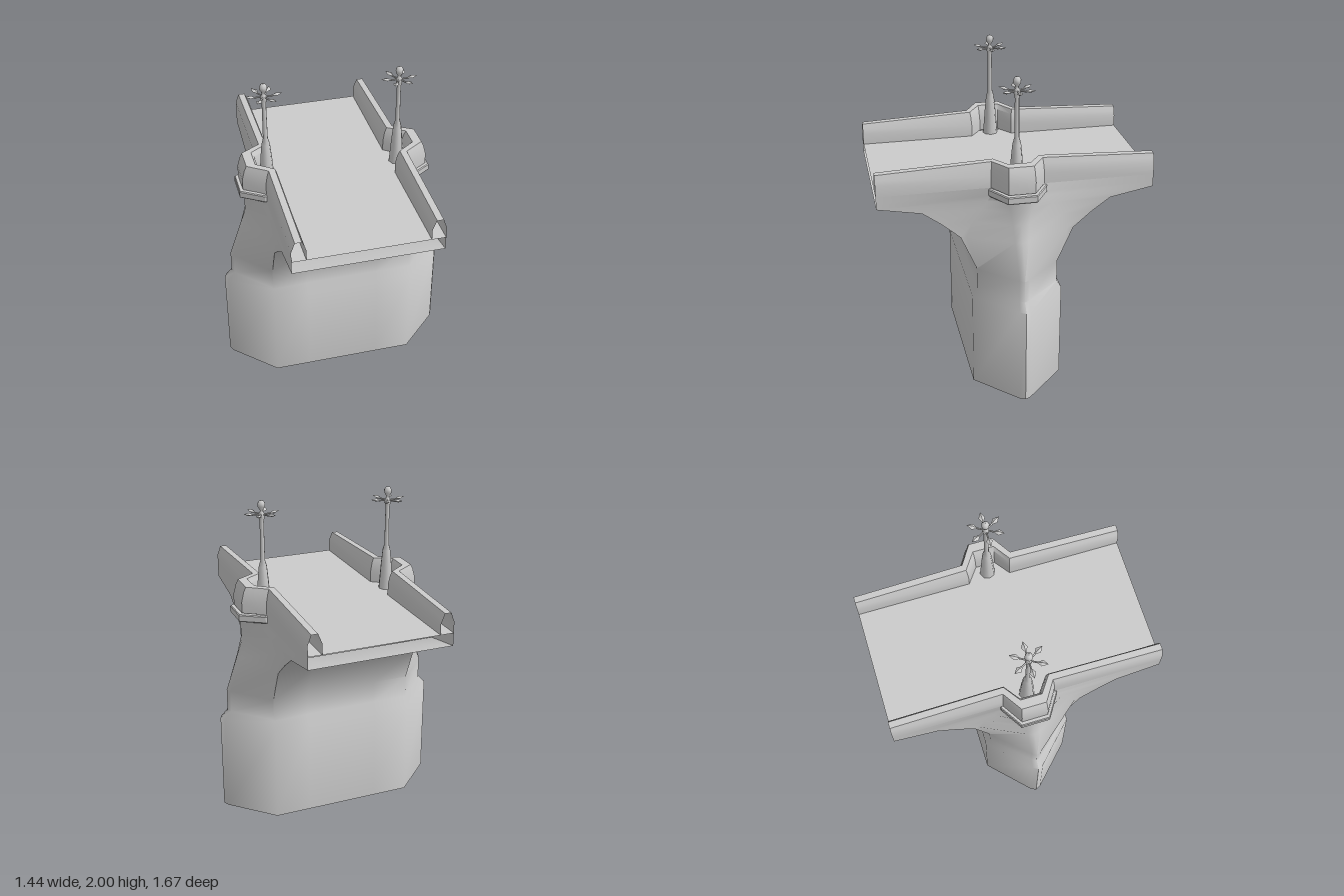
import * as THREE from 'three';
import { mergeGeometries, toCreasedNormals } from 'three/addons/utils/BufferGeometryUtils.js';

const material = new THREE.MeshStandardMaterial({ color: 0xcccccc, side: THREE.DoubleSide });

function mesh(name, geometry) {
  const m = new THREE.Mesh(geometry, material);
  m.name = name;
  return m;
}

// Skin over rows of [x, y, z] points
function loft(rows) {
  const n = rows[0].length, index = [];
  for (let i = 0; i < rows.length - 1; i++) {
    for (let j = 0; j < n - 1; j++) {
      const a = i * n + j, b = a + 1, c = b + n, d = a + n;
      index.push(a, b, c, a, c, d);
    }
  }
  const g = new THREE.BufferGeometry();
  g.setAttribute('position', new THREE.Float32BufferAttribute(rows.flat(2), 3));
  g.setIndex(index);
  return g.toNonIndexed();
}

const DECK_X = 0.45, DECK_Z = 0.835, DECK_Y = 1.34;

// Pier levels: y, flank half depth, nose root half depth, nose shoulder x and z, nose tip x
const levels = [
  [0, 0.28, 0.28, 0.7, 0.035, 0.718],
  [0.62, 0.28, 0.28, 0.7, 0.035, 0.718],
  [0.67, 0.25, 0.25, 0.655, 0.03, 0.67],
  [0.81, 0.25, 0.25, 0.655, 0.03, 0.67],
  [1.03, 0.345, 0.31, 0.58, 0.04, 0.595],
  [1.13, 0.46, 0.27, 0.55, 0.05, 0.56],
  [1.21, 0.57, 0.22, 0.55, 0.06, 0.56],
  [1.26, DECK_Z, 0.18, 0.55, 0.07, 0.56],
  [1.29, DECK_Z, 0.16, 0.555, 0.075, 0.56],
  [DECK_Y, DECK_Z, 0.16, 0.555, 0.075, 0.56],
];

// Hollow pier flaring into the underside and side walls of the deck
function pierGeometry() {
  const side = loft(levels.map(([y, f, r, sx, sz, tip]) => [
    [DECK_X, y, f], [DECK_X, y, r], [sx, y, sz], [tip, y, 0],
    [sx, y, -sz], [DECK_X, y, -r], [DECK_X, y, -f],
  ]));
  const flank = loft(levels.slice(0, 8).map(([y, f]) =>
    [-1, -0.5, 0, 0.5, 1].map((t) => [t * DECK_X, y, f])));
  const half = mergeGeometries([side, flank]);
  return toCreasedNormals(mergeGeometries([half, half.clone().rotateY(Math.PI)]), 0.95);
}

// Parapet: a bevelled profile swept along the deck edge and round the refuge
function parapetGeometry() {
  // inner x, inner z, outer x, outer z, top y
  const path = [
    [0.365, DECK_Z, DECK_X, DECK_Z, 1.468],
    [0.365, 0.13, DECK_X, 0.16, 1.497],
    [0.46, 0.06, 0.578, 0.08, 1.5],
  ];
  const mirrored = path.map(([a, b, c, d, t]) => [a, -b, c, -d, t]).reverse();
  const rows = [...path, ...mirrored].map(([xi, zi, xo, zo, top]) => {
    const profile = [
      [0, DECK_Y], [0, 1.41], [0.13, top - 0.03], [0.28, top],
      [0.75, top], [0.87, top - 0.03], [1, 1.41], [1, DECK_Y],
    ];
    return profile.map(([t, y]) => [xi + (xo - xi) * t, y, zi + (zo - zi) * t]);
  });
  return toCreasedNormals(loft(rows), 0.85);
}

// Projecting ledge below the refuge
function ledgeGeometry() {
  const outline = [[0.44, -0.17], [0.46, -0.17], [0.595, -0.085], [0.595, 0.085], [0.46, 0.17], [0.44, 0.17]];
  const shape = new THREE.Shape(outline.map(([x, z]) => new THREE.Vector2(x, z)));
  return new THREE.ExtrudeGeometry(shape, {
    depth: 0.035, bevelEnabled: true, bevelThickness: 0.006, bevelSize: 0.005, bevelSegments: 1,
  }).rotateX(-Math.PI / 2).translate(0, 1.294, 0);
}

// Lamp post with a ring of petals and a knob on top
function createLamp() {
  const lamp = new THREE.Group();
  lamp.name = 'lampPost';
  const profile = [
    [0.047, DECK_Y], [0.035, 1.5], [0.026, 1.59], [0.015, 1.63], [0.013, 1.87],
    [0.019, 1.895], [0.021, 1.915], [0.01, 1.93], [0.01, 1.942],
    [0.023, 1.962], [0.024, 1.98], [0.014, 1.996], [0, 2],
  ].map(([r, y]) => new THREE.Vector2(r, y));
  lamp.add(mesh('lampStem', new THREE.LatheGeometry(profile, 8)));
  for (let i = 0; i < 6; i++) {
    const petal = new THREE.Group();
    petal.name = 'lampPetal';
    const leaf = mesh('petalLeaf', new THREE.OctahedronGeometry(1).scale(0.034, 0.01, 0.019));
    leaf.position.set(0.078, 1.921, 0);
    leaf.rotation.z = 0.15;
    const stalk = mesh('petalStalk', new THREE.CylinderGeometry(0.005, 0.005, 0.05, 5).rotateZ(Math.PI / 2));
    stalk.position.set(0.035, 1.915, 0);
    petal.add(leaf, stalk);
    petal.rotation.y = (i * Math.PI) / 3;
    lamp.add(petal);
  }
  return lamp;
}

export function createModel() {
  const model = new THREE.Group();
  model.name = 'bridgePier';
  model.add(mesh('pier', pierGeometry()));

  // Road surface
  const road = mesh('roadDeck', new THREE.PlaneGeometry(2 * DECK_X, 2 * DECK_Z).rotateX(-Math.PI / 2));
  road.position.y = DECK_Y;
  model.add(road);

  // Matching edge on each side
  for (const side of ['left', 'right']) {
    const edge = new THREE.Group();
    edge.name = side + 'Edge';
    const lamp = createLamp();
    lamp.position.x = 0.412;
    edge.add(mesh('parapet', parapetGeometry()), mesh('ledge', ledgeGeometry()), lamp);
    if (side === 'right') edge.rotation.y = Math.PI;
    model.add(edge);
  }
  return model;
}
